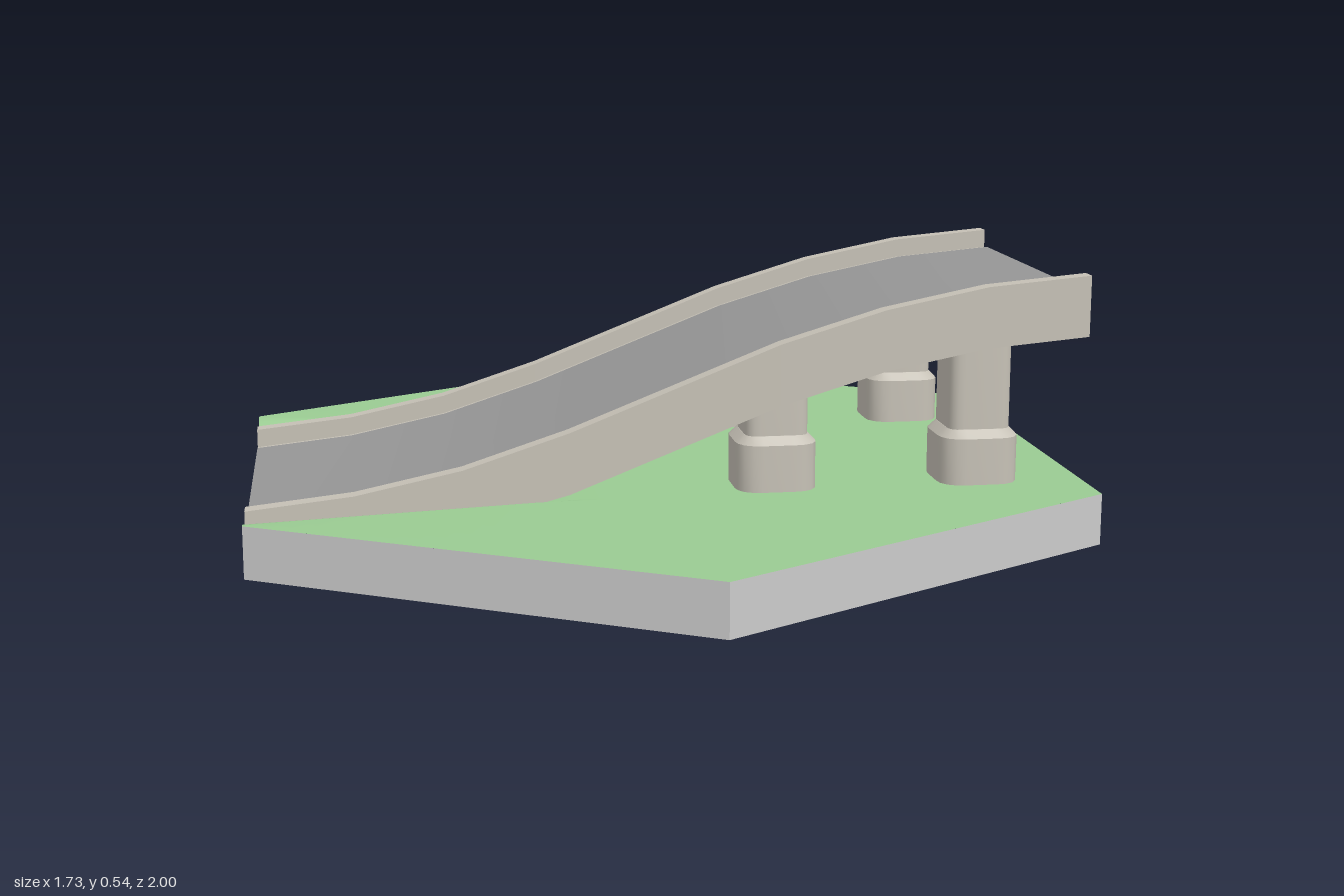
import * as THREE from 'three';
import { toCreasedNormals } from 'three/addons/utils/BufferGeometryUtils.js';

const HALF_X = 0.866, GROUND = 0.107, DECK_Z = 0.39, DIP = 0.047;

// Height of the railing top at equal steps along x
const RISE = [0.107, 0.13, 0.175, 0.245, 0.33, 0.415, 0.48, 0.523, 0.542];

function railHeight(x) {
  const t = THREE.MathUtils.clamp((x + HALF_X) / (2 * HALF_X), 0, 1) * (RISE.length - 1);
  const i = Math.min(Math.floor(t), RISE.length - 2);
  return THREE.MathUtils.lerp(RISE[i], RISE[i + 1], t - i);
}

const material = (color, extra = {}) => new THREE.MeshStandardMaterial({ color, ...extra });

function addMesh(parent, name, geometry, mat) {
  const mesh = new THREE.Mesh(geometry, mat);
  mesh.name = name;
  parent.add(mesh);
  return mesh;
}

// Ground sinks beside the low end of the ramp; f runs 0 (deck edge) to 1 (level grass)
const sink = (x) => THREE.MathUtils.clamp((-0.2 - x) / (HALF_X - 0.2), 0, 1);
const groundY = (x, f) => GROUND - DIP * sink(x) * (1 - THREE.MathUtils.smoothstep(f, 0, 1));
const bankZ = (x, f) => DECK_Z + 0.1 * f * Math.max(sink(x), 0.1);
const BANK = [0, 0.2, 0.4, 0.6, 0.8, 1];

function grassGeometry() {
  const cols = BANK.length * 2 + 1, rows = 36;
  const geo = new THREE.PlaneGeometry(1, 1, rows, cols).rotateX(-Math.PI / 2);
  const p = geo.attributes.position;
  for (let i = 0; i < p.count; i++) {
    const x = p.getX(i) * 2 * HALF_X;
    const col = Math.round((p.getZ(i) + 0.5) * cols);
    const side = col > cols / 2 ? 1 : -1;
    const k = side > 0 ? col - BANK.length - 1 : BANK.length - col;
    const edge = k === BANK.length;
    const z = edge ? 1 - Math.abs(x) / HALF_X * 0.5 : bankZ(x, BANK[k]);
    p.setXYZ(i, x, edge ? GROUND : groundY(x, BANK[k]), side * z);
  }
  geo.computeVertexNormals();
  return geo;
}

// Wall under the low end, notched where the ramp meets the edge
function notchedWallGeometry() {
  const top = BANK.map((f) => [bankZ(-HALF_X, f), groundY(-HALF_X, f)]);
  const outline = [
    [-0.5, 0], [0.5, 0], [0.5, GROUND],
    ...[...top].reverse(),
    ...top.map(([z, y]) => [-z, y]),
    [-0.5, GROUND],
  ];
  const shape = new THREE.Shape(outline.map(([z, y]) => new THREE.Vector2(z, y)));
  return new THREE.ShapeGeometry(shape).rotateY(-Math.PI / 2).translate(-HALF_X, 0, 0);
}

// Sweeps a section (z, offset from railing top) along the rise of the ramp
function rampGeometry(section) {
  const shape = new THREE.Shape(section.map(([z, y]) => new THREE.Vector2(z, y)));
  const geo = new THREE.ExtrudeGeometry(shape, {
    depth: 2 * HALF_X, steps: RISE.length - 1, bevelEnabled: false,
  }).rotateY(Math.PI / 2).translate(-HALF_X, 0, 0);
  const p = geo.attributes.position;
  for (let i = 0; i < p.count; i++) {
    p.setY(i, Math.max(p.getY(i) + railHeight(p.getX(i)), GROUND - DIP));
  }
  return toCreasedNormals(geo, 0.6);
}

// Upright block with rounded corners, optionally with a chamfered rim
function roundedBlock(half, radius, bottom, top, bevel = 0) {
  const h = half - bevel, s = new THREE.Shape();
  s.moveTo(-h + radius, -h);
  [[1, -1], [1, 1], [-1, 1], [-1, -1]].forEach(([a, b], i) => {
    const corner = [a * h, b * h];
    const before = i % 2 ? [a * h, b * (h - radius)] : [a * (h - radius), b * h];
    const after = i % 2 ? [a * (h - radius), b * h] : [a * h, b * (h - radius)];
    s.lineTo(...before);
    s.quadraticCurveTo(...corner, ...after);
  });
  const geo = new THREE.ExtrudeGeometry(s, {
    depth: top - bottom - bevel, curveSegments: 4, bevelEnabled: bevel > 0,
    bevelSize: bevel, bevelThickness: bevel, bevelSegments: 1,
  });
  return toCreasedNormals(geo.rotateX(-Math.PI / 2).translate(0, bottom, 0), 0.6);
}

export function createModel() {
  const model = new THREE.Group();
  model.name = 'rampBridgeTile';
  const grey = material(0xcccccc, { flatShading: true });
  const stone = material(0xc6c1b6);
  const asphalt = material(0x979797);
  const green = material(0x9acb92);

  // Hexagonal base
  const base = new THREE.Group();
  base.name = 'base';
  model.add(base);
  addMesh(base, 'baseSides', new THREE.CylinderGeometry(1, 1, GROUND, 5, 1, true,
    5 * Math.PI / 3, 5 * Math.PI / 3).translate(0, GROUND / 2, 0), grey);
  addMesh(base, 'baseBottom', new THREE.CircleGeometry(1, 6, Math.PI / 6).rotateX(Math.PI / 2), grey);
  addMesh(base, 'lowEndWall', notchedWallGeometry(), grey);
  addMesh(base, 'grass', grassGeometry(), green);

  // Deck with railings, and the road laid on it
  addMesh(model, 'deck', rampGeometry([
    [-DECK_Z, -0.128], [DECK_Z, -0.128], [DECK_Z, 0], [0.352, 0],
    [0.352, -0.041], [-0.352, -0.041], [-0.352, 0], [-DECK_Z, 0],
  ]), stone);
  addMesh(model, 'road', rampGeometry([
    [-0.33, -0.045], [0.33, -0.045], [0.33, -0.038], [-0.33, -0.038],
  ]), asphalt);

  // Two pairs of pillars
  for (const x of [0.215, 0.645]) {
    for (const side of [-1, 1]) {
      const pillar = new THREE.Group();
      pillar.name = 'pillar';
      pillar.position.set(x, 0, side * 0.308);
      addMesh(pillar, 'pillarFoot', roundedBlock(0.084, 0.035, 0.09, 0.222, 0.017), stone);
      addMesh(pillar, 'pillarShaft', roundedBlock(0.066, 0.03, 0.2, railHeight(x) - 0.085), stone);
      model.add(pillar);
    }
  }
  return model;
}
